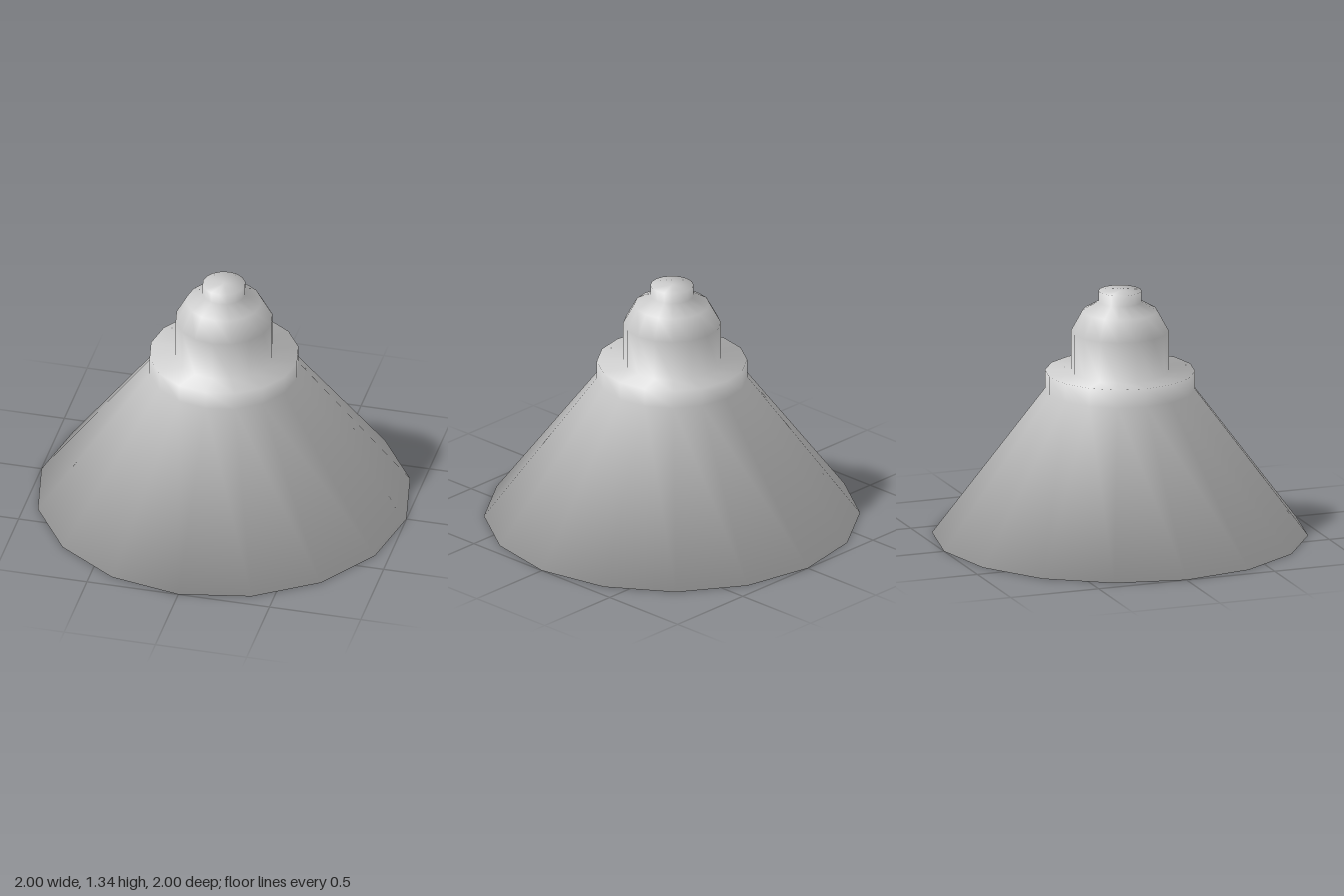
import * as THREE from 'three';

const SEGMENTS = 16;

const material = () => new THREE.MeshStandardMaterial({ color: 0xcccccc, side: THREE.DoubleSide });

// Turned part, smooth over every corner: each profile point takes the
// evenly weighted mean of the normals of its two neighbouring segments
function turned(name, profile) {
  const points = profile.map(([r, y]) => new THREE.Vector2(r, y));
  const sides = points.slice(1).map((p, i) => {
    const d = p.clone().sub(points[i]).normalize();
    return new THREE.Vector2(d.y, -d.x);
  });
  const smooth = points.map((p, i) =>
    (sides[i - 1] ?? sides[i]).clone().add(sides[i] ?? sides[i - 1]).normalize());

  const geometry = new THREE.LatheGeometry(points, SEGMENTS);
  const normals = geometry.attributes.normal;
  for (let i = 0; i < normals.count; i++) {
    const n = smooth[i % points.length];
    const phi = Math.floor(i / points.length) / SEGMENTS * Math.PI * 2;
    normals.setXYZ(i, n.x * Math.sin(phi), n.y, n.x * Math.cos(phi));
  }
  const mesh = new THREE.Mesh(geometry, material());
  mesh.name = name;
  return mesh;
}

export function createModel() {
  const group = new THREE.Group();
  group.name = 'pendantLamp';

  // Thin-walled shade with its collar and domed cap, turned in one piece
  group.add(turned('lampShade', [
    // inside, from the ceiling down to the rim
    [0, 0.8], [0.385, 0.8], [0.985, 0],
    // outside: rim, cone, collar
    [1, 0], [0.4, 0.8], [0.4, 0.9],
    // domed cap and cable stub
    [0.26, 0.9], [0.26, 1.12], [0.2, 1.23], [0.115, 1.28], [0.115, 1.34], [0, 1.34],
  ]));

  // Round bulb hanging from the ceiling of the shade
  const bulb = new THREE.Mesh(new THREE.SphereGeometry(0.31, SEGMENTS, 12), material());
  bulb.name = 'bulb';
  bulb.position.y = 0.49;
  group.add(bulb);

  return group;
}
